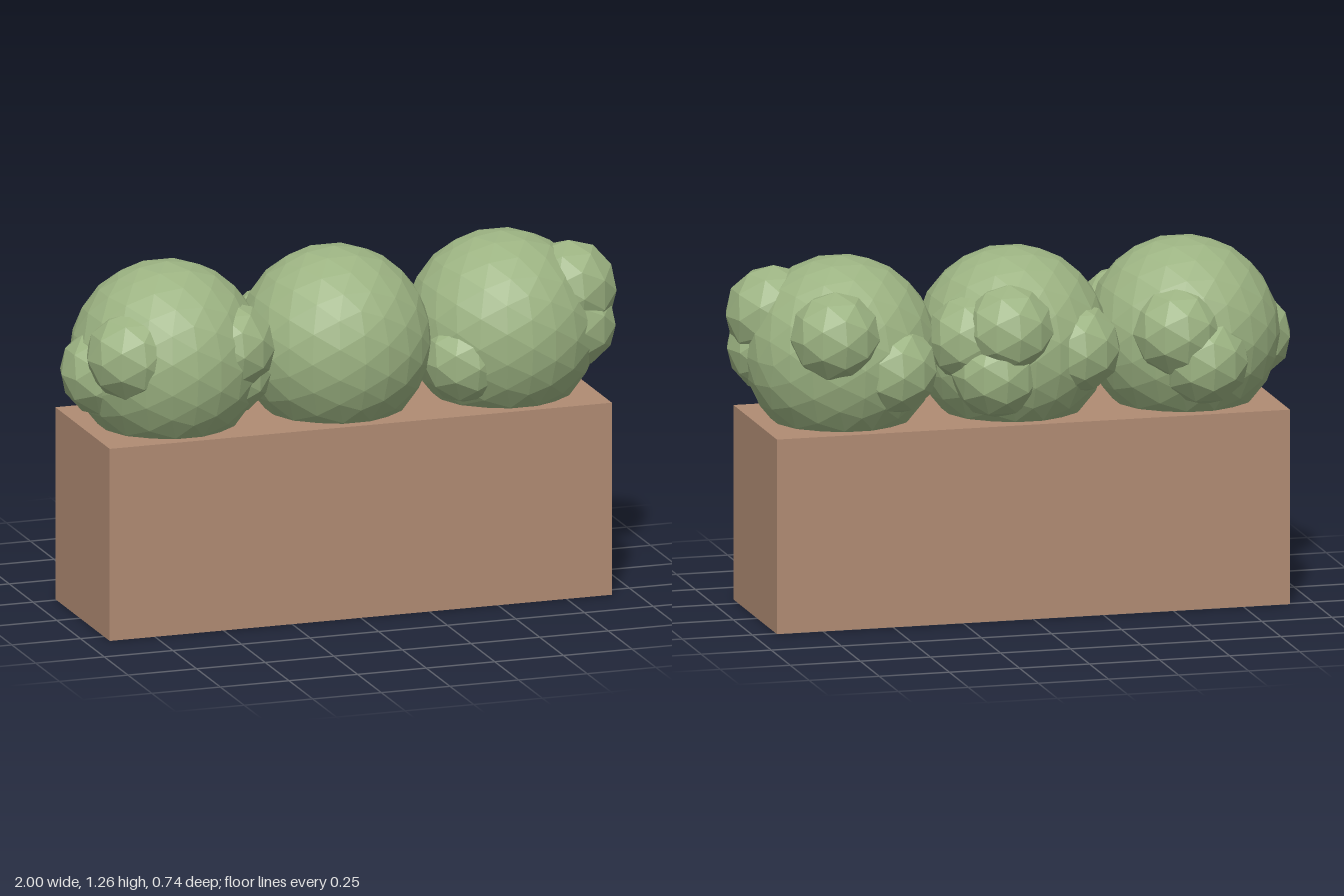
import * as THREE from 'three';

const foliageGreen = new THREE.MeshStandardMaterial({ color: 0x9cb382, flatShading: true });
foliageGreen.name = 'foliageGreen';
const planterBrown = new THREE.MeshStandardMaterial({ color: 0xb08b73, flatShading: true });
planterBrown.name = 'planterBrown';

// Main bush balls along the planter
const BUSH_RADIUS = 0.337;
const bushes = [
  { name: 'rightBush', x: -0.61 },
  { name: 'middleBush', x: 0 },
  { name: 'leftBush', x: 0.61 },
];

// Small leaf clumps of each bush: x, y, z, radius
const clumps = {
  rightBush: [
    [-0.84, 0.89, 0.05, 0.16], [-0.79, 0.97, 0.18, 0.16],
    [-0.43, 0.97, 0.17, 0.16], [-0.42, 0.87, 0.13, 0.15],
    [-0.53, 0.97, -0.2, 0.16], [-0.62, 0.87, -0.21, 0.16],
  ],
  middleBush: [
    [-0.18, 0.92, -0.14, 0.16], [0.07, 1.01, -0.2, 0.16],
    [0.11, 0.86, -0.18, 0.16], [0.18, 0.97, -0.12, 0.16],
  ],
  leftBush: [
    [0.83, 1.05, 0.1, 0.17], [0.83, 0.93, 0.12, 0.16],
    [0.43, 0.85, 0.17, 0.155],
    [0.69, 1.02, -0.2, 0.16], [0.48, 0.89, -0.17, 0.16],
  ],
};

function ball(name, x, y, z, radius, detail) {
  const mesh = new THREE.Mesh(new THREE.IcosahedronGeometry(radius, detail), foliageGreen);
  mesh.name = name;
  mesh.position.set(x, y, z);
  return mesh;
}

export function createModel() {
  const model = new THREE.Group();
  model.name = 'planterWithBushes';

  // Planter box
  const planter = new THREE.Mesh(new THREE.BoxGeometry(1.83, 0.686, 0.572), planterBrown);
  planter.name = 'planterBox';
  planter.position.set(0, 0.343, 0.026);
  model.add(planter);

  // Bushes with their clumps
  for (const { name, x } of bushes) {
    const bush = new THREE.Group();
    bush.name = name;
    bush.add(ball('bushBall', x, 0.919, 0.03, BUSH_RADIUS, 3));
    for (const [cx, cy, cz, r] of clumps[name]) {
      bush.add(ball('leafClump', cx, cy, cz, r, 1));
    }
    model.add(bush);
  }
  return model;
}
